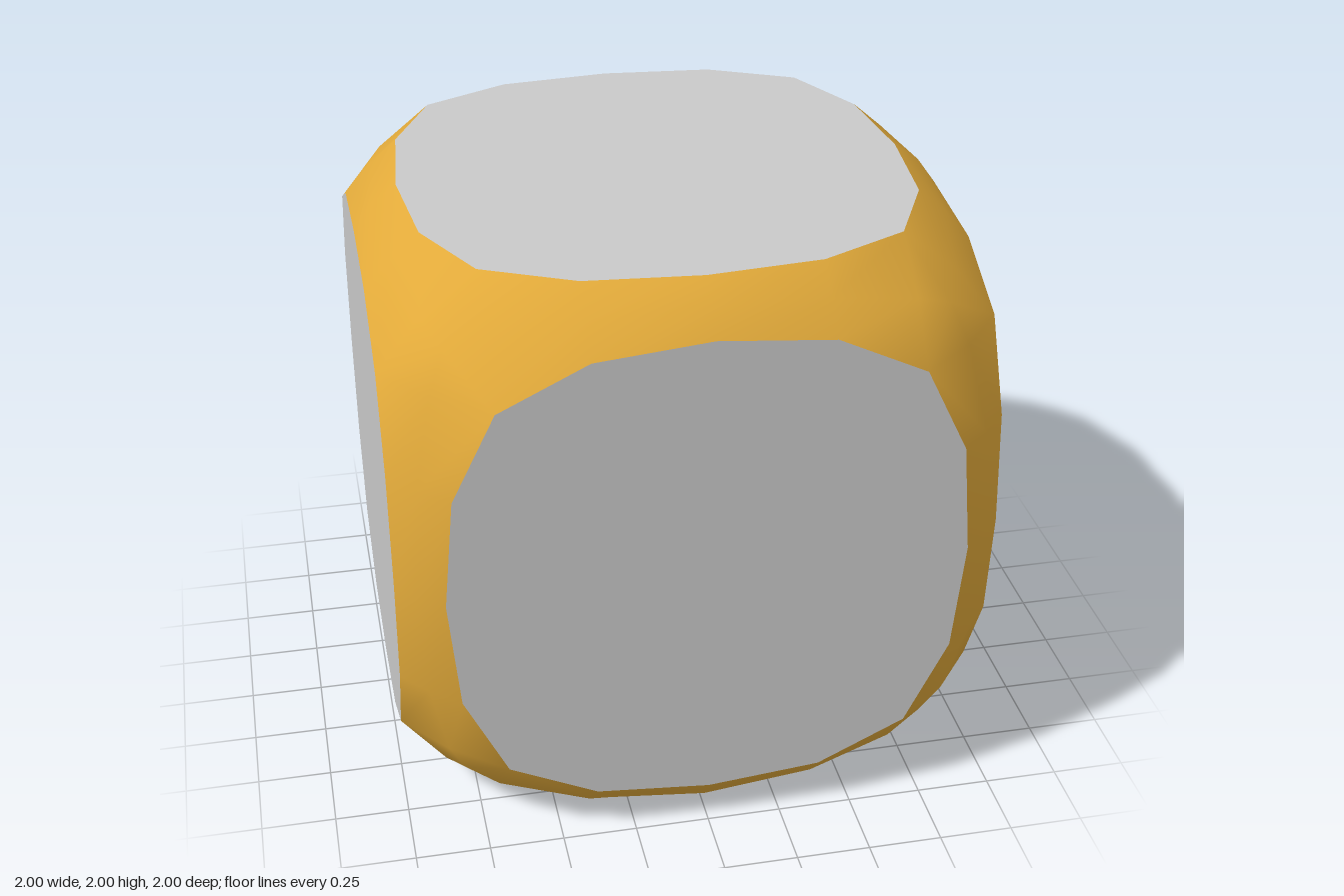
import * as THREE from 'three';
import { mergeVertices } from 'three/addons/utils/BufferGeometryUtils.js';

// Rows along each rounded edge: [position along edge, inset of the flat panel, height of the ridge]
const ROWS = [
  [-0.674, 0.674, 0.855], [-0.38, 0.817, 0.915], [0, 0.852, 0.938],
  [0.38, 0.817, 0.915], [0.674, 0.674, 0.855],
];
const CORNER = 0.802;

// Point given in axes (i, i+1, i+2) and returned in x, y, z
function point(i, a, b, c) {
  const p = [0, 0, 0];
  p[i] = a;
  p[(i + 1) % 3] = b;
  p[(i + 2) % 3] = c;
  return new THREE.Vector3(...p);
}

// Smooth shell: twelve edge bands and eight corner patches
function shellGeometry() {
  const positions = [];
  const triangle = (a, b, c) => {
    const normal = b.clone().sub(a).cross(c.clone().sub(a));
    const order = normal.dot(a) > 0 ? [a, b, c] : [a, c, b];
    order.forEach((p) => positions.push(p.x, p.y, p.z));
  };
  const quad = (a, b, c, d) => { triangle(a, b, c); triangle(a, c, d); };

  for (let axis = 0; axis < 3; axis++) {
    for (const s of [-1, 1]) {
      for (const t of [-1, 1]) {
        // edge band running along the axis
        const rows = ROWS.map(([along, inset, ridge]) => [
          point(axis, along, s * inset, t),
          point(axis, along, s * ridge, t * ridge),
          point(axis, along, s, t * inset),
        ]);
        for (let r = 0; r < rows.length - 1; r++) {
          for (let k = 0; k < 2; k++) {
            quad(rows[r][k], rows[r + 1][k], rows[r + 1][k + 1], rows[r][k + 1]);
          }
        }
        // one third of each corner patch, next to the panel on this axis
        const [e, , m] = ROWS[4];
        for (const u of [-1, 1]) {
          quad(
            point(axis, u, s * e, t * e),
            point(axis, u * m, s * m, t * e),
            point(axis, u * CORNER, s * CORNER, t * CORNER),
            point(axis, u * m, s * e, t * m),
          );
        }
      }
    }
  }
  const raw = new THREE.BufferGeometry();
  raw.setAttribute('position', new THREE.Float32BufferAttribute(positions, 3));
  const geometry = mergeVertices(raw, 1e-4);
  geometry.computeVertexNormals();
  return geometry;
}

// Flat sixteen-sided panel facing +z
function panelGeometry() {
  const outline = [];
  for (let side = 0; side < 4; side++) {
    for (const [along, inset] of ROWS.slice(0, 4)) {
      outline.push(new THREE.Vector2(inset, along).rotateAround(new THREE.Vector2(), side * Math.PI / 2));
    }
  }
  return new THREE.ShapeGeometry(new THREE.Shape(outline)).translate(0, 0, 1);
}

export function createModel() {
  const gold = new THREE.MeshStandardMaterial({ color: 0xe2aa3a });
  gold.name = 'gold';
  const silver = new THREE.MeshStandardMaterial({ color: 0xcacaca });
  silver.name = 'silver';

  const model = new THREE.Group();
  model.name = 'roundedCube';

  const body = new THREE.Group();
  body.name = 'body';
  body.position.y = 1;
  model.add(body);

  const shell = new THREE.Mesh(shellGeometry(), gold);
  shell.name = 'roundedShell';
  body.add(shell);

  // Six flat panels
  const panel = panelGeometry();
  const q = Math.PI / 2;
  const turns = {
    front: [0, 0], back: [0, 2 * q], left: [0, q], right: [0, -q], top: [-q, 0], bottom: [q, 0],
  };
  for (const [name, [rx, ry]] of Object.entries(turns)) {
    const mesh = new THREE.Mesh(panel, silver);
    mesh.name = name + 'Panel';
    mesh.rotation.set(rx, ry, 0);
    body.add(mesh);
  }
  return model;
}
